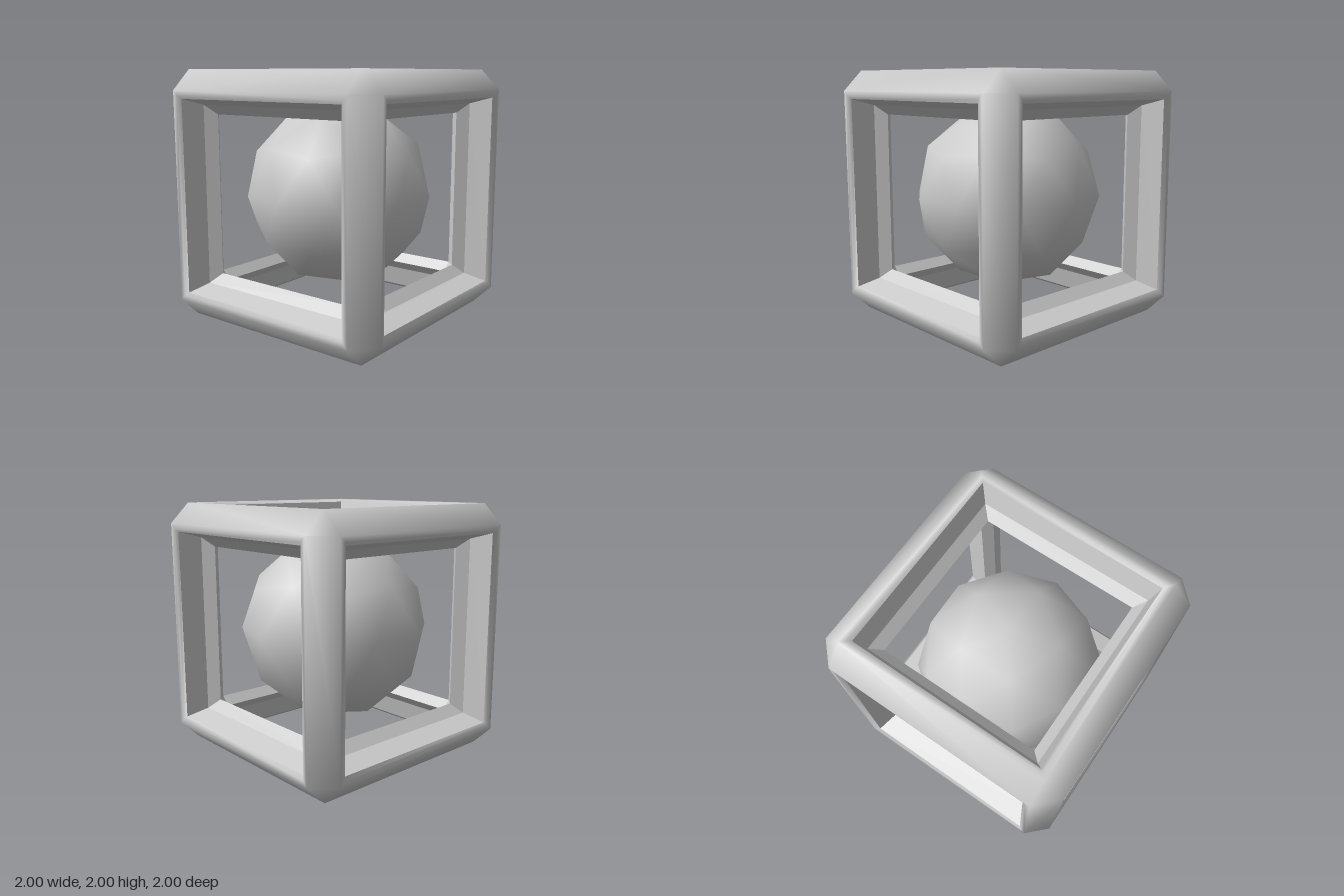
import * as THREE from 'three';
import { mergeVertices } from 'three/addons/utils/BufferGeometryUtils.js';

// Half of a bar's cross-section, mirrored about its diagonal.
// [distance from centre across the window, depth along the window's axis]
const OUTER = [[0.84, 1], [0.8, 0.997], [0.775, 0.975]];
const INNER = [[0.775, 0.975], [0.725, 0.8], [0.65, 0.72]];
const CORE = 0.83; // inside the bar, used to face the surfaces outward

function addTri(out, inside, a, b, c) {
  const n = new THREE.Vector3().crossVectors(b.clone().sub(a), c.clone().sub(a));
  const mid = a.clone().add(b).add(c).divideScalar(3).sub(inside);
  for (const p of n.dot(mid) > 0 ? [a, b, c] : [a, c, b]) out.push(p.x, p.y, p.z);
}

// Twelve mitred bars joined by a small triangle at every corner
function frameSurface(profile, cap, smooth) {
  const out = [];
  const place = (axis, u, v, w) => {
    const p = [0, 0, 0];
    p[axis] = w;
    p[(axis + 1) % 3] = u;
    p[(axis + 2) % 3] = v;
    return new THREE.Vector3(...p);
  };
  const strip = (axis, su, sv, p, q) => {
    const at = ([u, v], end) => place(axis, su * u, sv * v, end * Math.min(u, v));
    const inside = place(axis, su * CORE, sv * CORE, 0);
    const [a, b, c, d] = [at(p, -1), at(p, 1), at(q, 1), at(q, -1)];
    addTri(out, inside, a, b, c);
    addTri(out, inside, a, c, d);
  };
  const flip = ([u, v]) => [v, u];

  for (const su of [-1, 1]) for (const sv of [-1, 1]) {
    for (let axis = 0; axis < 3; axis++) {
      for (let i = 0; i + 1 < profile.length; i++) {
        strip(axis, su, sv, profile[i], profile[i + 1]);
        strip(axis, su, sv, flip(profile[i]), flip(profile[i + 1]));
      }
      strip(axis, su, sv, cap, flip(cap)); // diagonal face of the bar
    }
    for (const sw of [-1, 1]) {
      const sign = new THREE.Vector3(su, sv, sw);
      const [near, far] = [Math.min(...cap), Math.max(...cap)];
      const tri = [0, 1, 2].map((axis) => place(axis, near, near, far).multiply(sign));
      addTri(out, sign.clone().multiplyScalar(CORE), ...tri);
    }
  }

  let geometry = new THREE.BufferGeometry();
  geometry.setAttribute('position', new THREE.Float32BufferAttribute(out, 3));
  if (smooth) geometry = mergeVertices(geometry, 1e-4);
  geometry.computeVertexNormals();
  return geometry;
}

export function createModel() {
  const model = new THREE.Group();
  model.name = 'cagedBall';
  const material = new THREE.MeshStandardMaterial({ color: 0xcccccc });

  const add = (name, geometry, parent) => {
    const mesh = new THREE.Mesh(geometry, material);
    mesh.name = name;
    parent.add(mesh);
    return mesh;
  };

  // Open cube frame: softly shaded outside, crisp stepped window reveals
  const frame = new THREE.Group();
  frame.name = 'cubeFrame';
  frame.position.y = 1;
  add('frameOutside', frameSurface(OUTER, OUTER[0], true), frame);
  add('frameInside', frameSurface(INNER, INNER[2], false), frame);
  model.add(frame);

  // Ball in the middle, turned so that one vertex points straight up
  const ball = add('ball', new THREE.IcosahedronGeometry(0.76, 1), model);
  ball.rotation.z = -Math.atan(2 / (1 + Math.sqrt(5)));
  ball.position.y = 1;

  return model;
}
